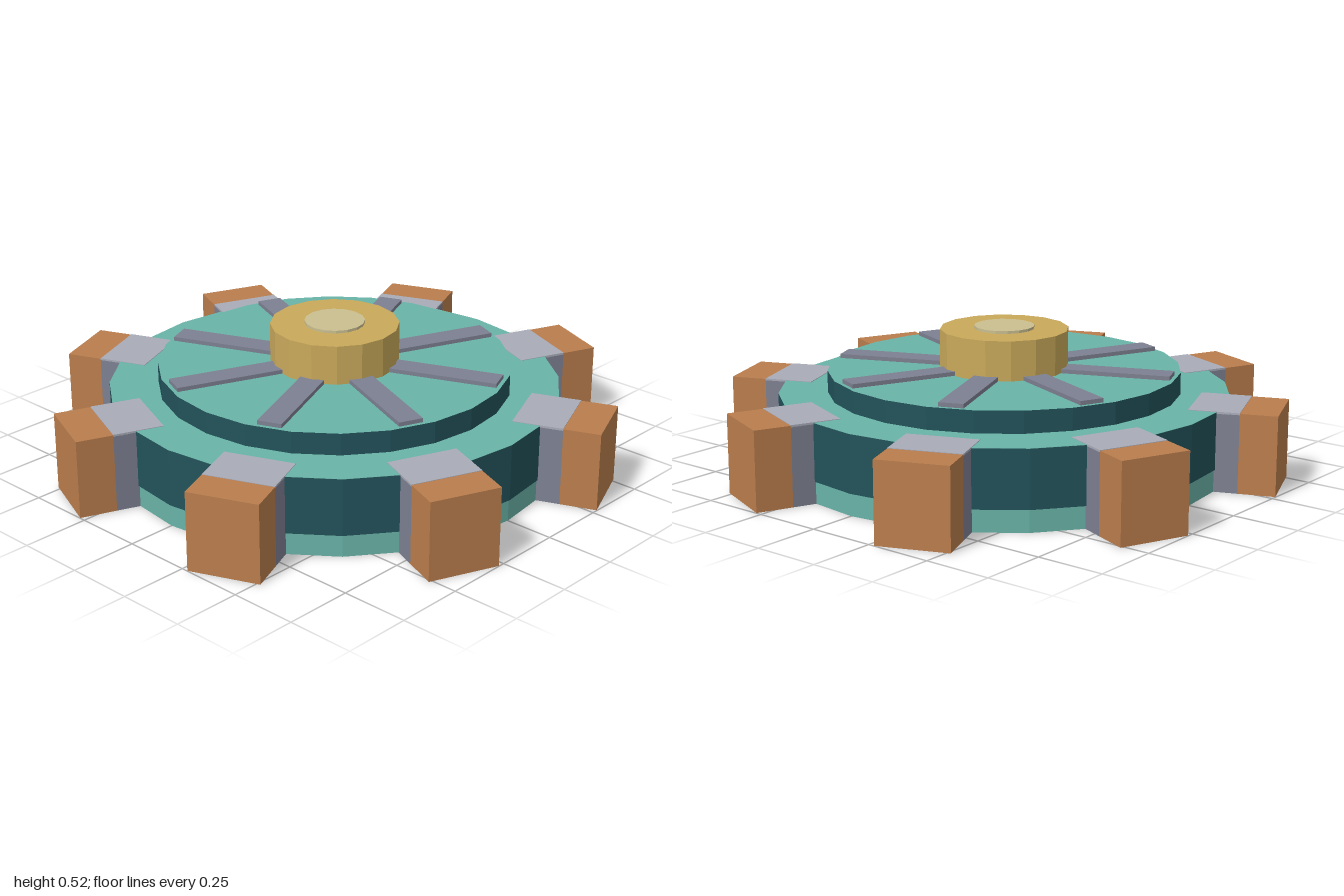
import * as THREE from 'three';

const mat = (name, color, extra = {}) => {
  const m = new THREE.MeshStandardMaterial({ color, flatShading: true, ...extra });
  m.name = name;
  return m;
};

export function createModel() {
  const teal = mat('light teal', 0x69b3a7, { side: THREE.DoubleSide });
  const darkTeal = mat('dark teal', 0x22525a);
  const copper = mat('copper', 0xba7d4d);
  const steel = mat('steel grey', 0x7d8091);
  const paleGrey = mat('pale grey', 0xa9acb8);
  const brass = mat('brass', 0xc9a95b);
  const paleBrass = mat('pale brass', 0xcabf90);

  const model = new THREE.Group();
  model.name = 'paddleWheel';

  const add = (parent, name, geometry, material, x = 0, y = 0, z = 0) => {
    const mesh = new THREE.Mesh(geometry, material);
    mesh.name = name;
    mesh.position.set(x, y, z);
    parent.add(mesh);
    return mesh;
  };
  // upright cylinder between two heights
  const drum = (name, r, y0, y1, sides, material, open = false) =>
    add(model, name, new THREE.CylinderGeometry(r, r, y1 - y0, sides, 1, open), material, 0, (y0 + y1) / 2, 0);
  // box spanning radii r0..r1 along local x
  const radial = (parent, name, r0, r1, y0, y1, width, material, z = 0) =>
    add(parent, name, new THREE.BoxGeometry(r1 - r0, y1 - y0, width), material, (r0 + r1) / 2, (y0 + y1) / 2, z);

  // thin open-bottomed shell with a dark outer band
  drum('shellWall', 0.82, 0, 0.29, 24, teal, true);
  drum('shellBand', 0.824, 0.08, 0.289, 24, darkTeal, true);
  const top = add(model, 'shellTop', new THREE.CircleGeometry(0.824, 24), teal, 0, 0.29, 0);
  top.rotation.x = -Math.PI / 2;

  // raised disc
  drum('raisedRim', 0.645, 0.29, 0.37, 24, darkTeal, true);
  const disc = add(model, 'raisedTop', new THREE.CircleGeometry(0.645, 24), teal, 0, 0.37, 0);
  disc.rotation.x = -Math.PI / 2;

  // hub
  drum('hub', 0.235, 0.37, 0.515, 16, brass);
  drum('hubCap', 0.11, 0.515, 0.525, 16, paleBrass);

  // eight arms, each with a spoke on the disc and a copper block outside
  for (let i = 0; i < 8; i++) {
    const arm = new THREE.Group();
    arm.name = 'arm' + (i + 1);
    arm.rotation.y = Math.PI / 8 + (i * Math.PI) / 4;
    model.add(arm);

    radial(arm, 'spoke', 0.2, 0.625, 0.37, 0.385, 0.09, steel);
    radial(arm, 'copperBlock', 0.893, 1.027, 0, 0.29, 0.26, copper);

    // hollow bracket, open below
    for (const s of [-1, 1]) radial(arm, 'bracketSide', 0.56, 0.893, 0, 0.285, 0.05, steel, s * 0.105);
    radial(arm, 'bracketInnerEnd', 0.56, 0.61, 0, 0.285, 0.16, steel);
    radial(arm, 'bracketLining', 0.61, 0.892, 0.2, 0.284, 0.16, paleGrey);
    radial(arm, 'bracketTop', 0.71, 0.893, 0.284, 0.292, 0.26, paleGrey);
  }
  return model;
}
